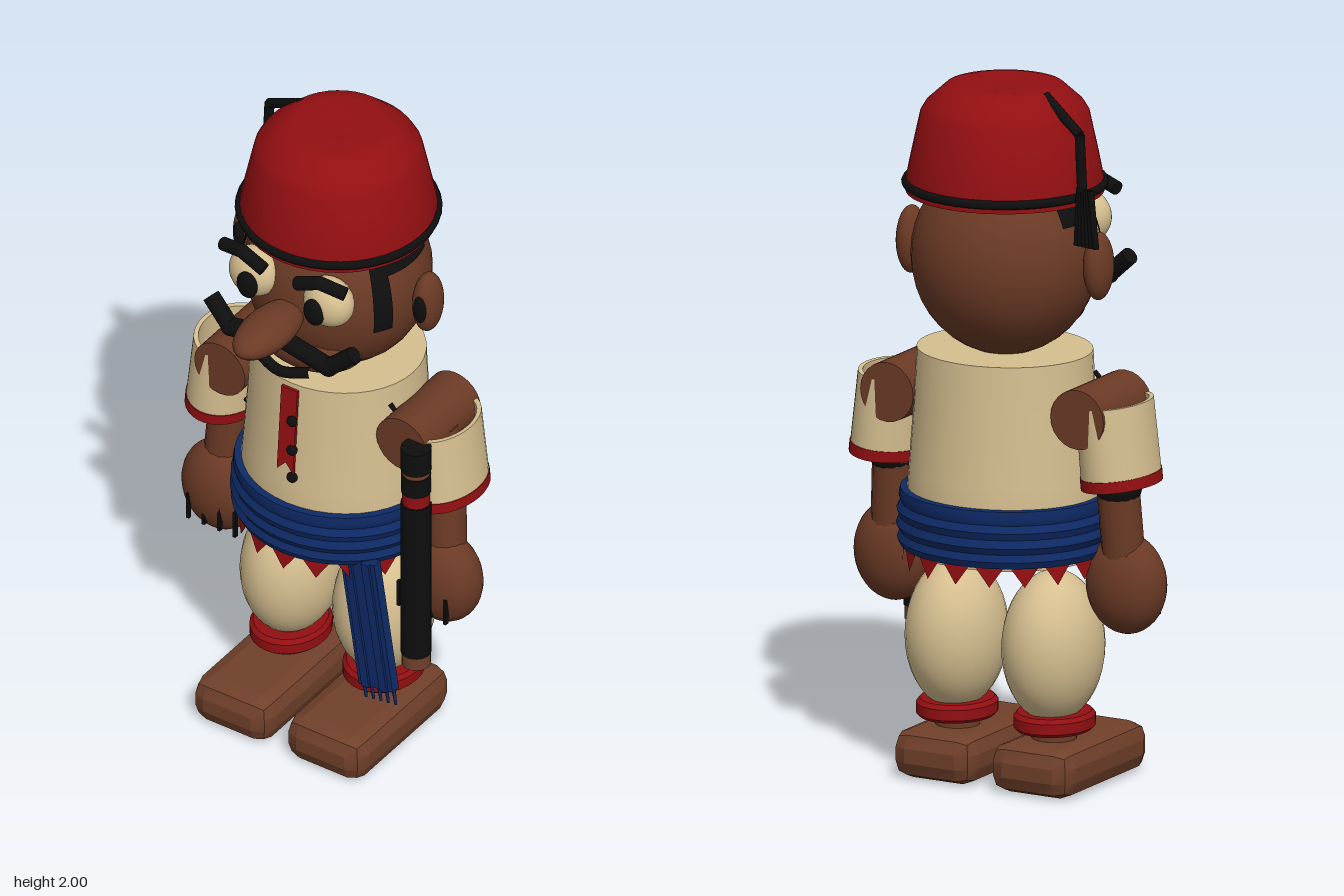
import * as THREE from 'three';
import { toCreasedNormals } from 'three/addons/utils/BufferGeometryUtils.js';
import { RoundedBoxGeometry } from 'three/addons/geometries/RoundedBoxGeometry.js';

const material = (name, color) => new THREE.MeshStandardMaterial({ name, color });
const V = (x, y, z) => new THREE.Vector3(x, y, z);
const Z = -0.105; // depth of the body axis

export function createModel() {
  const model = new THREE.Group();
  model.name = 'figurine';
  const red = material('red', 0x930f12);
  const cream = material('cream', 0xd6bf90);
  const skin = material('brown skin', 0x6b3a25);
  const leather = material('brown leather', 0x70402a);
  const blue = material('navy blue', 0x0e2a66);
  const black = material('black', 0x0e0e0e);
  red.side = THREE.DoubleSide;

  const add = (name, geo, mat, x = 0, y = 0, z = 0, parent = model) => {
    const mesh = new THREE.Mesh(geo, mat);
    mesh.name = name;
    mesh.position.set(x, y, z);
    parent.add(mesh);
    return mesh;
  };
  const ball = (name, mat, pos, r, parent) => {
    const mesh = add(name, new THREE.SphereGeometry(1, 28, 20), mat, ...pos, parent);
    mesh.scale.set(...r);
    return mesh;
  };
  const lathe = (pts, seg = 40) =>
    toCreasedNormals(new THREE.LatheGeometry(pts.map(p => new THREE.Vector2(...p)), seg), 0.6);
  // Rod from a to b with a chosen radius
  const rod = (name, mat, a, b, r, parent) => {
    const d = b.clone().sub(a);
    const mid = a.clone().add(b).multiplyScalar(0.5);
    const mesh = add(name, new THREE.CylinderGeometry(r, r, d.length(), 14), mat, mid.x, mid.y, mid.z, parent);
    mesh.quaternion.setFromUnitVectors(V(0, 1, 0), d.normalize());
    return mesh;
  };

  // Head and jaw
  ball('head', skin, [0, 1.505, Z], [0.265, 0.28, 0.255]);
  ball('jaw', skin, [0, 1.35, 0.03], [0.17, 0.09, 0.11]);
  ball('nose', skin, [0, 1.5, 0.24], [0.072, 0.053, 0.142]);
  const mouth = new THREE.CatmullRomCurve3([V(-0.09, 1.34, 0.165), V(0, 1.322, 0.185), V(0.09, 1.34, 0.165)]);
  add('mouth', new THREE.TubeGeometry(mouth, 12, 0.016, 8), black);

  for (const s of [-1, 1]) {
    ball('ear', skin, [s * 0.3, 1.51, Z], [0.04, 0.097, 0.053]);
    ball('earHollow', black, [s * 0.302, 1.51, -0.075], [0.024, 0.055, 0.03]);
    ball('eye', cream, [s * 0.125, 1.58, 0.125], [0.076, 0.076, 0.06]);
    ball('pupil', black, [s * 0.112, 1.57, 0.18], [0.033, 0.043, 0.018]);

    // Eyebrow: a short arch in two rods
    const brow = [V(s * 0.055, 1.647, 0.18), V(s * 0.13, 1.68, 0.18), V(s * 0.205, 1.66, 0.16)];
    rod('eyebrow', black, brow[0], brow[1], 0.02);
    rod('eyebrow', black, brow[1], brow[2], 0.02);
    ball('eyebrowBend', black, brow[1].toArray(), [0.02, 0.02, 0.02]);

    // Moustache half with upturned tip
    const tash = [V(s * 0.02, 1.43, 0.18), V(s * 0.165, 1.405, 0.185), V(s * 0.24, 1.47, 0.17)];
    rod('moustache', black, tash[0], tash[1], 0.027);
    rod('moustacheTip', black, tash[1], tash[2], 0.025);
    ball('moustacheBend', black, tash[1].toArray(), [0.027, 0.027, 0.027]);

    // Hair above the ear and the sideburn in front of it
    const side = s > 0 ? Math.PI : 0;
    const patch = (name, front, back, top, bottom) => {
      const start = s > 0 ? side - front : side - back;
      const geo = new THREE.SphereGeometry(1, 14, 10, start, front + back, top, bottom - top);
      add(name, geo, black, 0, 1.505, Z).scale.set(0.274, 0.288, 0.263);
    };
    patch('hair', 0.62, 0.35, 0.75, 1.14);
    patch('sideburn', 0.62, -0.4, 0.9, 1.73);
  }

  // Fez with band
  add('fez', lathe([[0.2, 1.69], [0.276, 1.69], [0.276, 1.72], [0.262, 1.79], [0.235, 1.915],
    [0.22, 1.94], [0.165, 1.99], [0.13, 1.998], [0.06, 1.993], [0, 1.985]]), red, 0, 0, Z);
  const band = add('fezBand', new THREE.TorusGeometry(0.275, 0.013, 8, 40), black, 0, 1.715, Z);
  band.rotation.x = Math.PI / 2;

  // Tassel: cord over the rim, hanging threads
  const cord = [V(-0.15, 1.985, -0.14), V(-0.285, 1.9, -0.183), V(-0.297, 1.74, -0.19)];
  rod('tasselCord', black, cord[0], cord[1], 0.014);
  rod('tasselCord', black, cord[1], cord[2], 0.014);
  for (let i = 0; i < 6; i++)
    rod('tasselThread', black, V(-0.33 + i * 0.009, 1.75, -0.2 + i * 0.003),
      V(-0.347 + i * 0.014, 1.585, -0.2 + i * 0.003), 0.009);

  // Tunic, sash and closed underside
  add('tunic', lathe([[0, 0.655], [0.265, 0.66], [0.28, 0.8], [0.272, 0.9], [0.258, 1.08],
    [0.25, 1.24], [0, 1.24]]), cream, 0, 0, Z).scale.z = 0.92;
  add('sash', lathe([[0.26, 0.675], [0.295, 0.675], [0.305, 0.695], [0.296, 0.715], [0.308, 0.735],
    [0.298, 0.757], [0.306, 0.778], [0.294, 0.798], [0.3, 0.815], [0.296, 0.838], [0.25, 0.84]]),
  blue, 0, 0, Z).scale.z = 0.93;

  // Pointed hem trim
  const hem = [];
  const teeth = 18;
  for (let i = 0; i < teeth; i++) {
    for (const [step, y] of [[0, 0.69], [0.5, 0.62], [1, 0.69]]) {
      const a = (i + step - 0.5) / teeth * Math.PI * 2;
      hem.push(Math.sin(a) * 0.288, y, Math.cos(a) * 0.272);
    }
  }
  const hemGeo = new THREE.BufferGeometry();
  hemGeo.setAttribute('position', new THREE.Float32BufferAttribute(hem, 3));
  hemGeo.computeVertexNormals();
  add('hemTrim', hemGeo, red, 0, 0, Z);

  // Placket with notched end, buttons and side stitches
  const placketShape = new THREE.Shape([[-0.028, 1.23], [-0.028, 0.955], [0, 0.985], [0.026, 0.955], [0.026, 1.23]]
    .map(p => new THREE.Vector2(...p)));
  const placket = add('placket', new THREE.ExtrudeGeometry(placketShape, { depth: 0.009, bevelEnabled: false }), red, 0, 0, 0.225);
  placket.rotation.x = -0.08;
  for (const y of [0.935, 1.03, 1.13])
    ball('button', black, [0.018, y, 0.15], [0.016, 0.016, 0.014]);
  for (const s of [-1, 1]) for (const y of [0.99, 1.17])
    rod('stitch', black, V(s * 0.235, y + 0.01, -0.015), V(s * 0.25, y - 0.005, -0.015), 0.007);

  // Hanging sash end with fringe
  const tail = new THREE.Group();
  tail.name = 'sashEnd';
  tail.position.set(0.232, 0.48, 0.083);
  tail.rotation.z = 0.15;
  model.add(tail);
  add('sashStrip', new THREE.BoxGeometry(0.115, 0.42, 0.03), blue, 0, 0, 0, tail);
  for (const x of [-0.03, 0.03])
    add('sashFold', new THREE.BoxGeometry(0.025, 0.42, 0.01), blue, x, 0, 0.018, tail);
  for (let i = 0; i < 5; i++)
    add('fringe', new THREE.CylinderGeometry(0.006, 0.004, 0.055, 6), blue, -0.05 + i * 0.025, -0.232, 0, tail);

  // Arms
  const sleeveGeo = lathe([[0.088, -0.09], [0.103, -0.09], [0.1, 0.115], [0.088, 0.115], [0.088, -0.09]], 32);
  const cuffGeo = lathe([[0.085, -0.12], [0.105, -0.12], [0.105, -0.088], [0.085, -0.088], [0.085, -0.12]], 32);
  for (const s of [-1, 1]) {
    const shoulder = add('shoulder', new THREE.CylinderGeometry(0.085, 0.085, 0.265, 24), skin, s * 0.305, 1.098, -0.1);
    shoulder.rotation.x = Math.PI / 2;
    const sleeve = new THREE.Group();
    sleeve.name = 'sleeve';
    sleeve.position.set(s * 0.36, 1.015, -0.1);
    sleeve.rotation.z = s * 0.1;
    sleeve.scale.z = 1.33;
    model.add(sleeve);
    add('sleeveCloth', sleeveGeo, cream, 0, 0, 0, sleeve);
    add('sleeveCuff', cuffGeo, red, 0, 0, 0, sleeve);
    rod('upperArm', skin, V(s * 0.33, 1.1, -0.1), V(s * 0.36, 0.88, -0.1), 0.065);
    ball('elbow', black, [s * 0.362, 0.885, -0.1], [0.064, 0.06, 0.066]);
    rod('forearm', skin, V(s * 0.36, 0.88, -0.1), V(s * 0.375, 0.62, -0.085), 0.06);
    ball('hand', skin, [s * 0.372, 0.605, -0.075], [0.12, 0.143, 0.09]);
    for (let i = 0; i < 4; i++)
      add('fingerLine', new THREE.BoxGeometry(0.009, 0.085, 0.012), black, s * (0.275 + i * 0.052), 0.55, 0);
  }

  // Staff with rings
  const staff = new THREE.Group();
  staff.name = 'staff';
  staff.position.set(0.367, 0, 0.052);
  model.add(staff);
  for (const [name, mat, y0, y1, r] of [['staffTip', leather, 0.38, 0.42, 0.041], ['staffShaft', black, 0.42, 0.94, 0.043],
    ['staffRing', red, 0.94, 0.98, 0.039], ['staffNeck', black, 0.98, 1.04, 0.042],
    ['staffBand', leather, 1.04, 1.055, 0.039], ['staffTop', black, 1.055, 1.13, 0.043]])
    add(name, new THREE.CylinderGeometry(r, r, y1 - y0, 20), mat, 0, (y0 + y1) / 2, 0, staff);

  // Legs and shoes
  const shoeGeo = toCreasedNormals(new RoundedBoxGeometry(0.26, 0.142, 0.47, 1, 0.05), 0.3);
  for (const s of [-1, 1]) {
    ball('leg', cream, [s * 0.155, 0.405, Z], [0.138, 0.216, 0.163]);
    add('trouserCuff', lathe([[0, 0.168], [0.1, 0.168], [0.11, 0.178], [0.11, 0.208], [0.1, 0.22], [0, 0.22]], 28),
      red, s * 0.156, 0, -0.1).scale.z = 1.15;
    add('ankle', new THREE.CylinderGeometry(0.06, 0.065, 0.07, 20), skin, s * 0.155, 0.15, -0.1);
    add('shoe', shoeGeo, leather, s * 0.156, 0.071, -0.02);
  }
  return model;
}
